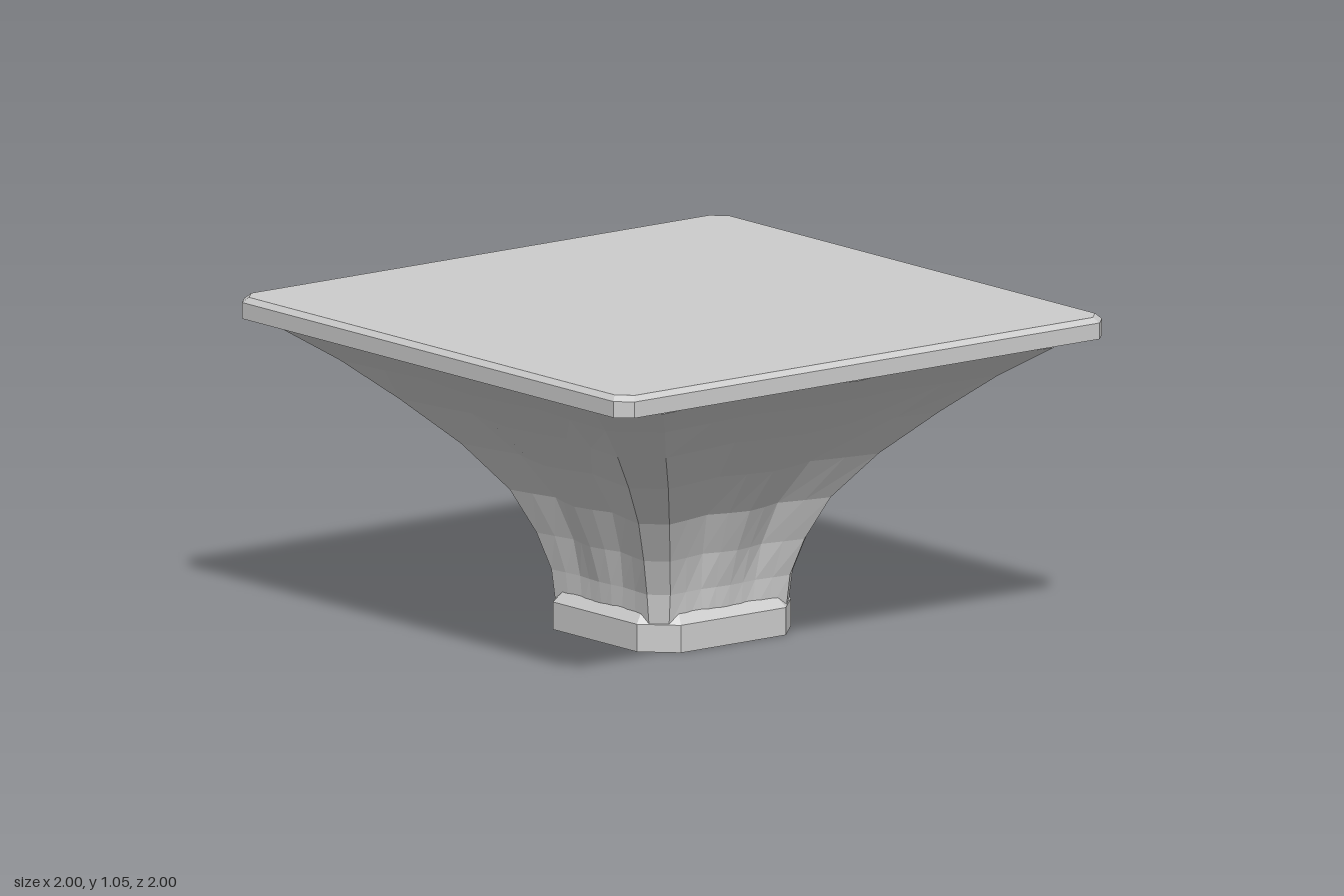
import * as THREE from 'three';

// One ring with four equal sides; e is the half length of a side, w its distance from the axis.
function plainRing(y, w, e) {
  return around([[-e, y, w], [e, y, w]]);
}

// Side with a raised middle rib and a valley of depth d at x = +-v.
function flutedRing(y, w, e, v, d, lift = 0) {
  const half = [[e, 0], [(e + v) / 2, 0.45], [v, 1], [v / 2, 0.4]];
  const at = (x, k) => [x, y + lift * k, w - d * k];
  return around([
    ...half.map(([x, k]) => at(-x, k)),
    at(0, 0),
    ...half.map(([x, k]) => at(x, k)).reverse(),
  ]);
}

// Repeat one side four times around the vertical axis.
function around(side) {
  const ring = [];
  let pts = side;
  for (let k = 0; k < 4; k++) {
    ring.push(...pts);
    pts = pts.map(([x, y, z]) => [z, y, -x]);
  }
  return ring;
}

// Skin the rings from bottom to top and close both ends.
function loft(rings) {
  const pos = [];
  const n = rings[0].length;
  const bottom = rings[0], top = rings[rings.length - 1];
  for (let i = 0; i < n; i++) {
    const j = (i + 1) % n;
    for (let r = 0; r < rings.length - 1; r++) {
      const a = rings[r][i], b = rings[r][j], c = rings[r + 1][j], d = rings[r + 1][i];
      pos.push(...a, ...b, ...c, ...a, ...c, ...d);
    }
    pos.push(0, bottom[0][1], 0, ...bottom[j], ...bottom[i]);
    pos.push(0, top[0][1], 0, ...top[i], ...top[j]);
  }
  const geo = new THREE.BufferGeometry();
  geo.setAttribute('position', new THREE.Float32BufferAttribute(pos, 3));
  geo.computeVertexNormals();
  return geo;
}

export function createModel() {
  const group = new THREE.Group();
  group.name = 'columnCapital';
  const stone = new THREE.MeshStandardMaterial({ color: 0xcccccc });
  stone.name = 'stone grey';
  stone.flatShading = true;

  const add = (name, rings) => {
    const mesh = new THREE.Mesh(loft(rings), stone);
    mesh.name = name;
    group.add(mesh);
  };

  // Foot block with cut corners and a bevelled upper edge
  add('footBlock', [
    plainRing(0, 0.315, 0.215),
    plainRing(0.09, 0.315, 0.215),
    plainRing(0.125, 0.285, 0.2),
  ]);

  // Flaring body: valleys fade in above the foot
  add('flaredBody', [
    flutedRing(0.08, 0.285, 0.24, 0.1, 0),
    flutedRing(0.19, 0.298, 0.245, 0.11, 0.01),
    flutedRing(0.31, 0.335, 0.275, 0.12, 0.028),
    flutedRing(0.45, 0.4, 0.33, 0.145, 0.04),
    flutedRing(0.6, 0.52, 0.43, 0.185, 0.045),
    flutedRing(0.745, 0.67, 0.56, 0.24, 0.045),
    flutedRing(0.87, 0.815, 0.68, 0.27, 0.035),
    flutedRing(0.97, 0.955, 0.8, 0.3, 0.02, 0.012),
    flutedRing(0.99, 0.955, 0.8, 0.3, 0.02),
  ]);

  // Square top slab with small cut corners and a bevelled rim
  add('topSlab', [
    plainRing(0.985, 1, 0.952),
    plainRing(1.038, 1, 0.952),
    plainRing(1.055, 0.983, 0.937),
  ]);

  return group;
}
